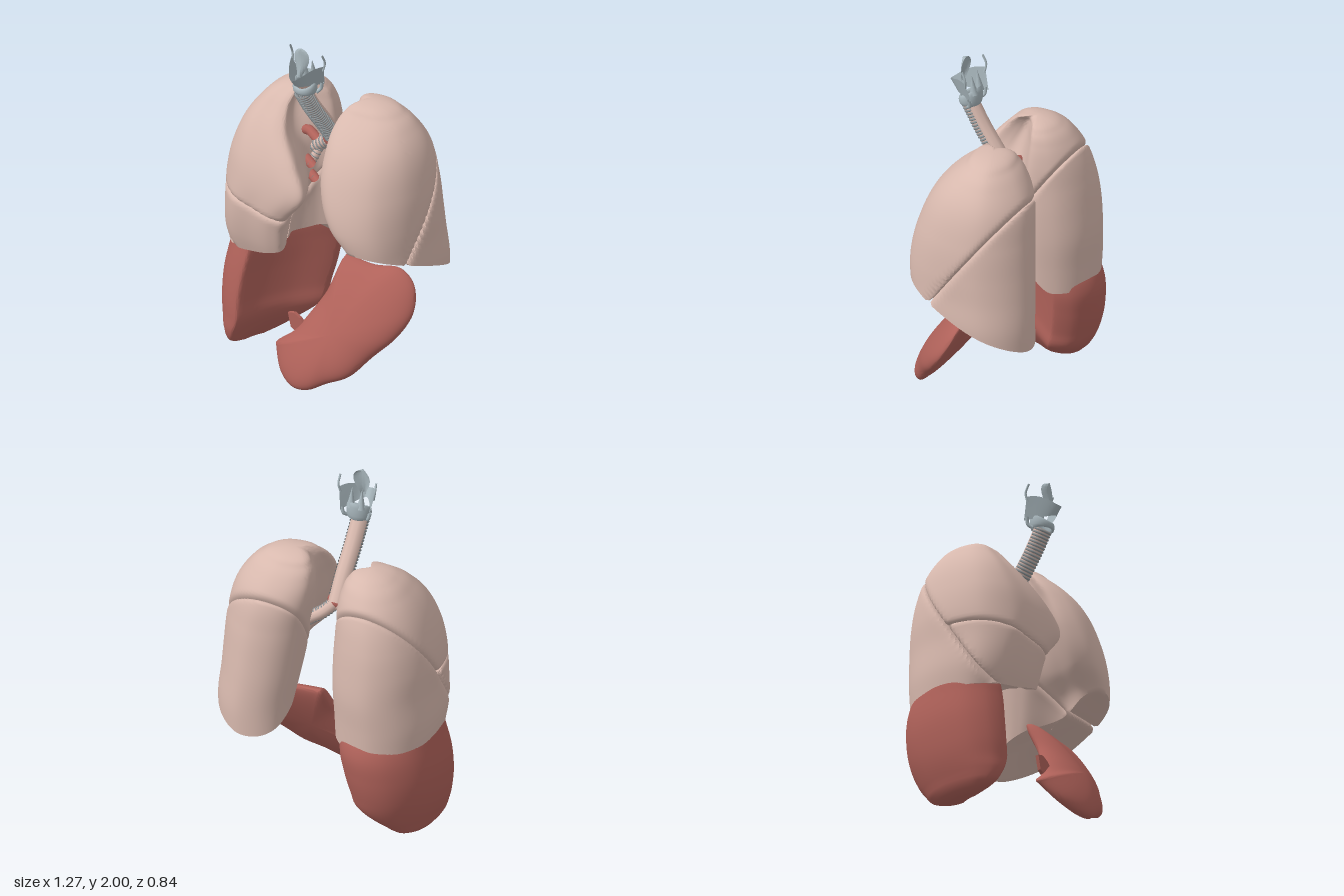
import * as THREE from 'three';
import { toCreasedNormals } from 'three/addons/utils/BufferGeometryUtils.js';

const mat = (color) => new THREE.MeshStandardMaterial({ color, side: THREE.DoubleSide });
const PINK = mat(0xd8b9ae), RED = mat(0xb0625a), GREY = mat(0xa8b6bc), RING = mat(0x90979a);
const V = (x, y, z) => new THREE.Vector3(x, y, z);
const { lerp, smoothstep } = THREE.MathUtils;

// Surface from a rule fn(u, v) -> Vector3, wound so that closed forms face outward
function grid(nu, nv, fn, crease = 0.8) {
  const pos = [], idx = [];
  for (let j = 0; j <= nv; j++)
    for (let i = 0; i <= nu; i++) pos.push(...fn((i % nu === 0 && fn.closed) ? 0 : i / nu, j / nv).toArray());
  for (let j = 0; j < nv; j++)
    for (let i = 0; i < nu; i++) {
      const a = j * (nu + 1) + i, b = a + 1, c = a + nu + 1, d = c + 1;
      idx.push(a, c, b, b, c, d);
    }
  const p = (i) => V(...pos.slice(i * 3, i * 3 + 3));
  let volume = 0;
  for (let i = 0; i < idx.length; i += 3) volume += p(idx[i]).dot(p(idx[i + 1]).cross(p(idx[i + 2])));
  if (volume < 0) idx.reverse();
  const g = new THREE.BufferGeometry();
  g.setAttribute('position', new THREE.Float32BufferAttribute(pos, 3));
  g.setIndex(idx);
  return toCreasedNormals(g, crease);
}

const outline = (pts) => new THREE.CatmullRomCurve3(pts.map(([x, y]) => V(x, y, 0)), true);

// Organ lofted from a unit section (outer 0 .. medial 1, back 0 .. front 1).
// rows, bottom to top: y, outer, medial at back, medial at front, back z, front z
// floor(x, y) is the height of the lower rim, dome how far the base is hollowed
function organ(side, section, rows, floor, dome) {
  const curve = outline(section);
  const spline = new THREE.CubicInterpolant(rows.map((r) => r[0]), rows.flatMap((r) => r.slice(1)), 5);
  const top = rows[rows.length - 1][0];
  const fn = (u, v) => {
    const s = curve.getPoint(u);
    const t = Math.min(1, v / 0.8) ** 1.4;
    const y = lerp(top, floor(s.x, s.y), t);
    const [outer, back, front, z0, z1] = spline.evaluate(y);
    const medial = lerp(back, front, smoothstep(s.y, 0.45, 0.75));
    const k = v > 0.8 ? (1 - v) / 0.2 : v === 0 ? 0 : 1;
    const mid = (outer + back) / 2, zm = (z0 + z1) / 2;
    const yc = v > 0.8 ? lerp(floor(0.5, 0.5), y, k) + dome * (1 - k * k) : y;
    return V(side * lerp(mid, lerp(outer, medial, s.x), k), yc, lerp(zm, lerp(z0, z1, s.y), k));
  };
  fn.closed = true;
  return fn;
}

// Keep the part of an organ on the positive side of every plane, with a softly rounded rim
function clipped(fn, center, planes, rim = 0.022) {
  const out = (u, v) => {
    const p = fn(u, v);
    for (const pl of planes) {
      const d = pl.distanceToPoint(p), dc = pl.distanceToPoint(center);
      if (d >= rim) continue;
      const kept = Math.max(0, d + rim) ** 2 / (4 * rim);
      p.lerp(center, (kept - d) / (dc - d));
    }
    return p;
  };
  out.closed = true;
  return out;
}
const plane = (n, p) => new THREE.Plane().setFromNormalAndCoplanarPoint(n.normalize(), p);

export function createModel() {
  const model = new THREE.Group();
  const add = (name, geo, m, parent = model) => {
    const mesh = new THREE.Mesh(geo, m);
    mesh.name = name;
    parent.add(mesh);
    return mesh;
  };
  const group = (name) => {
    const g = new THREE.Group();
    g.name = name;
    model.add(g);
    return g;
  };
  const tube = (name, pts, r, m, parent) =>
    add(name, new THREE.TubeGeometry(new THREE.CatmullRomCurve3(pts.map((p) => V(...p))), 20, r, 10), m, parent);
  const lobe = (name, fn, center, planes, parent) =>
    add(name, grid(104, 84, clipped(fn, center, planes), 1), PINK, parent);

  // Right lung: three lobes, the base arched on its medial side
  const rightSection = [[0, 0.55], [0.08, 0.82], [0.3, 0.97], [0.6, 1], [0.88, 1], [1, 0.95], [0.93, 0.8],
    [0.82, 0.62], [0.86, 0.5], [1, 0.37], [0.93, 0.18], [0.75, 0.05], [0.45, 0], [0.2, 0.1], [0.04, 0.3]];
  const rightFloor = (x, y) => lerp(0.6, 0.63, y)
    + 0.17 * x * x * smoothstep(y, 0.2, 0.5) * (1 - 0.5 * smoothstep(y, 0.65, 1));
  const rightLung = organ(-1, rightSection, [
    [0.6, 0.6, 0.07, 0.14, -0.38, 0.25], [0.75, 0.612, 0.06, 0.13, -0.39, 0.3], [0.93, 0.6, 0.05, 0.09, -0.4, 0.33],
    [1.1, 0.597, 0.05, -0.03, -0.39, 0.33], [1.25, 0.57, 0.06, 0.05, -0.37, 0.29], [1.4, 0.515, 0.07, 0.17, -0.33, 0.21],
    [1.5, 0.45, 0.09, 0.21, -0.28, 0.13], [1.57, 0.38, 0.12, 0.21, -0.22, 0.06], [1.61, 0.3, 0.17, 0.2, -0.15, -0.01],
    [1.62, 0.25, 0.22, 0.22, -0.1, -0.06]], rightFloor, 0.08);
  const oblR = (s) => plane(V(0, 0.25 * s, 0.37 * s), V(0, 1, 0));
  const horiz = (s) => plane(V(0.19 * s, s, 0), V(-0.35, 0.97, 0));
  const rl = group('rightLung');
  lobe('rightUpperLobe', rightLung, V(-0.34, 1.25, 0), [oblR(1), horiz(1)], rl);
  lobe('rightMiddleLobe', rightLung, V(-0.33, 0.83, 0.23), [oblR(1), horiz(-1)], rl);
  lobe('rightLowerLobe', rightLung, V(-0.33, 0.95, -0.17), [oblR(-1)], rl);

  // Left lung: two lobes on a slanting base
  const leftSection = [[0, 0.45], [0.06, 0.7], [0.25, 0.9], [0.55, 1], [0.85, 1], [1, 0.9], [0.94, 0.75],
    [0.9, 0.6], [0.95, 0.48], [1, 0.36], [0.97, 0.18], [0.8, 0.05], [0.48, 0], [0.2, 0.1], [0.04, 0.26]];
  const leftLung = organ(1, leftSection, [
    [0.53, 0.6, 0.22, 0.35, -0.41, 0.1], [0.7, 0.632, 0.2, 0.34, -0.41, 0.25], [0.88, 0.622, 0.17, 0.3, -0.4, 0.31],
    [1, 0.618, 0.15, 0.2, -0.39, 0.335], [1.2, 0.6, 0.12, 0.12, -0.37, 0.305], [1.4, 0.55, 0.09, 0.1, -0.335, 0.22],
    [1.5, 0.49, 0.09, 0.1, -0.28, 0.14], [1.57, 0.42, 0.11, 0.12, -0.22, 0.06], [1.62, 0.32, 0.16, 0.17, -0.15, -0.01],
    [1.63, 0.26, 0.2, 0.2, -0.1, -0.06]], (x, y) => lerp(0.59 - 0.06 * x, 0.88, y), 0.04);
  const oblL = (s) => plane(V(0, 0.26 * s, 0.36 * s), V(0, 1.05, -0.07));
  const ll = group('leftLung');
  lobe('leftUpperLobe', leftLung, V(0.36, 1.2, 0.02), [oblL(1)], ll);
  lobe('leftLowerLobe', leftLung, V(0.4, 0.95, -0.2), [oblL(-1)], ll);

  // Liver: large right part with an open medial face
  const liverSection = [[0, 0.52], [0.05, 0.8], [0.22, 0.95], [0.44, 1], [0.47, 0.99], [0.57, 0.76], [0.74, 0.52],
    [0.98, 0.29], [1, 0.26], [0.92, 0.1], [0.65, 0], [0.35, 0.05], [0.1, 0.25]];
  add('liverRightLobe', grid(72, 60, organ(-1, liverSection, [
    [0, 0.52, 0.45, 0.45, -0.04, 0.12], [0.03, 0.56, 0.4, 0.4, -0.16, 0.22], [0.1, 0.59, 0.31, 0.31, -0.25, 0.275],
    [0.2, 0.62, 0.2, 0.2, -0.33, 0.285], [0.3, 0.635, 0.18, 0.18, -0.37, 0.28], [0.45, 0.638, 0.15, 0.15, -0.4, 0.26],
    [0.6, 0.615, 0.13, 0.13, -0.4, 0.23], [0.7, 0.59, 0.14, 0.14, -0.35, 0.2], [0.8, 0.52, 0.21, 0.21, -0.22, 0.13],
    [0.85, 0.42, 0.33, 0.33, -0.08, 0.04]], () => 0, 0), 0.9), RED);

  // Liver: thin left part, a leaning lens
  const edge = outline([[0.12, 0.68], [0.14, 0.68], [0.3, 0.67], [0.45, 0.68], [0.55, 0.61], [0.59, 0.48], [0.55, 0.36],
    [0.45, 0.24], [0.36, 0.13], [0.25, 0.075], [0.15, 0.02], [0.05, 0.01], [-0.06, 0.06], [-0.14, 0.155], [-0.15, 0.17],
    [-0.05, 0.26], [0.01, 0.36], [0.08, 0.5]]);
  const lens = (u, v) => {
    const e = edge.getPoint(u), r = Math.sin(Math.PI * v);
    const x = lerp(0.24, e.x, r), y = lerp(0.35, e.y, r);
    const bulge = Math.cos(Math.PI * v) * (v < 0.5 ? 0.115 : 0.06);
    return V(x, y, 0.405 - 0.58 * y - 0.4 * (x - 0.12) ** 2 + bulge);
  };
  lens.closed = true;
  add('liverLeftLobe', grid(90, 40, lens), RED);
  const flap = new THREE.Shape([[-0.1, 0.35], [-0.06, 0.36], [-0.02, 0.34], [0.04, 0.28], [-0.02, 0.23], [-0.08, 0.27]]
    .map((p) => new THREE.Vector2(...p)));
  add('liverFlap', new THREE.ExtrudeGeometry(flap, { depth: 0.02, bevelEnabled: false }), RED).position.z = 0.23;

  // Trachea with open rings, and the main bronchi
  const airway = group('airway');
  const ringed = (name, pts, r, n, arc) => {
    tube(name, pts, r * 0.94, PINK, airway);
    const curve = new THREE.CatmullRomCurve3(pts.map((p) => V(...p)));
    const geo = new THREE.TorusGeometry(r * 0.9, r * 0.13, 6, 18, arc);
    for (let i = 0; i < n; i++) {
      const t = (i + 0.5) / n, along = curve.getTangentAt(t);
      const across = V(0, 0, 1).addScaledVector(along, -along.z).normalize();
      const ring = add(name + 'Ring', geo, RING, airway);
      // Middle of the arc points to the front
      const sideways = V().crossVectors(along, across);
      ring.quaternion.setFromRotationMatrix(new THREE.Matrix4().makeBasis(across, sideways, along));
      ring.rotateZ(-arc / 2);
      ring.position.copy(curve.getPointAt(t));
    }
  };
  ringed('trachea', [[-0.02, 1.73, 0.22], [-0.015, 1.6, 0.14], [-0.01, 1.45, 0.03], [-0.01, 1.32, -0.06]], 0.052, 28, 3.8);
  ringed('leftBronchus', [[0, 1.32, -0.06], [0.06, 1.26, -0.08], [0.13, 1.21, -0.09], [0.22, 1.14, -0.09]], 0.038, 14, 4.6);
  ringed('rightBronchus', [[-0.02, 1.32, -0.06], [-0.08, 1.28, -0.05], [-0.15, 1.23, -0.04], [-0.25, 1.18, -0.03]], 0.038, 12, 4.6);
  ringed('rightBranch', [[-0.1, 1.26, -0.05], [-0.13, 1.17, -0.01], [-0.2, 1.08, 0.01]], 0.026, 10, 4.6);
  const carina = add('carina', new THREE.SphereGeometry(0.055, 20, 14), RED, airway);
  carina.position.set(-0.01, 1.325, -0.04);
  carina.scale.set(1.15, 0.8, 0.85);

  // Vessels at the root of the right lung
  const vessels = group('vessels');
  for (const [y, z] of [[1.34, 0.0], [1.18, 0.03], [1.08, 0.0]])
    tube('vessel', [[-0.09, y, z + 0.02], [-0.14, y + 0.01, z], [-0.24, y - 0.02, z - 0.02]], 0.028, RED, vessels);

  // Larynx: shield, horns, ring cartilage, back cartilages and leaf-shaped lid
  const larynx = group('larynx');
  larynx.position.x = -0.012;
  const shield = (u, v) => {
    const a = u * 2 - 1, w = Math.abs(a);
    const y = lerp(1.775 + 0.02 * (1 - w), 1.84 + 0.06 * smoothstep(w, 0, 0.9), v);
    return V(a * (0.085 + 0.022 * v), y, 0.3 + 0.035 * v - 0.15 * w ** 1.6);
  };
  add('thyroidCartilage', grid(32, 8, shield), GREY, larynx);
  for (const s of [-1, 1]) {
    tube('upperHorn', [[0.1 * s, 1.87, 0.185], [0.11 * s, 1.92, 0.18], [0.108 * s, 1.97, 0.2]], 0.006, GREY, larynx);
    tube('lowerHorn', [[0.085 * s, 1.79, 0.17], [0.075 * s, 1.75, 0.17], [0.06 * s, 1.73, 0.19]], 0.01, GREY, larynx);
    const ary = add('arytenoidCartilage', new THREE.ConeGeometry(0.024, 0.12, 10), GREY, larynx);
    ary.position.set(0.03 * s, 1.86, 0.18);
    ary.rotation.x = 0.15;
  }
  const cricoid = (u, v) => {
    const a = u * Math.PI * 2, c = Math.cos(a), b = v * Math.PI * 2;
    const high = lerp(0.055, 0.02, (c + 1) / 2), r = 0.055 + 0.009 * Math.cos(b);
    return V(Math.sin(a) * r * 1.1, 1.735 + high * 0.8 - c * 0.005 + high * Math.sin(b), 0.21 + c * r);
  };
  cricoid.closed = true;
  add('cricoidCartilage', grid(36, 12, cricoid), GREY, larynx);
  const lid = (u, v) => {
    const a = u * 2 - 1, w = 0.05 * Math.sqrt(Math.sin(Math.PI * (0.03 + 0.97 * v ** 1.7)));
    return V(a * (v === 1 ? 0 : w), 1.84 + 0.16 * v, 0.28 - 0.05 * v + 0.03 * v * v - 0.02 * a * a);
  };
  add('epiglottis', grid(16, 24, lid), GREY, larynx);
  return model;
}
